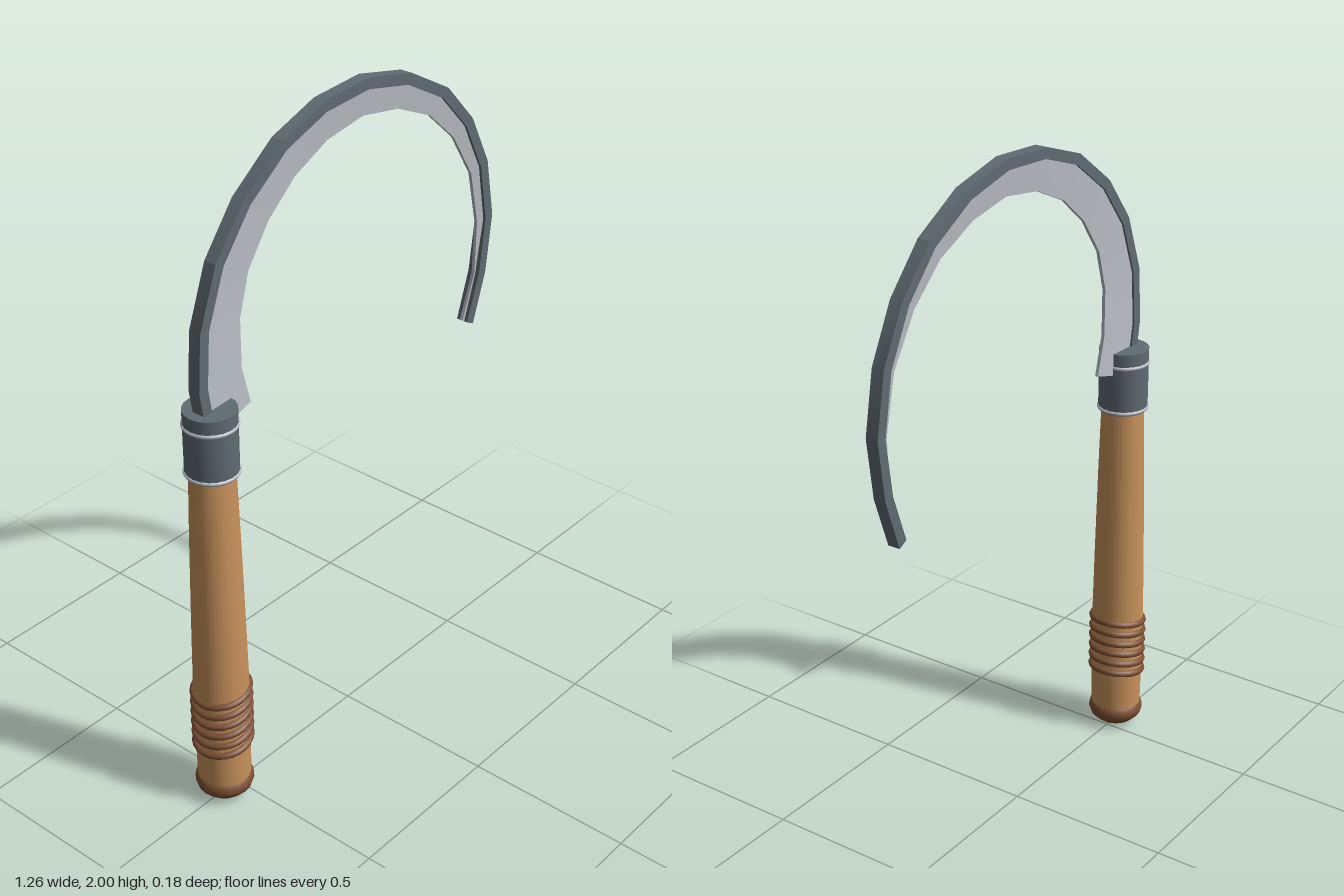
import * as THREE from 'three';
import { toCreasedNormals } from 'three/addons/utils/BufferGeometryUtils.js';

// Matching stations along the hook: [outer x, outer y, inner x, inner y]
const STATIONS = [
  [-0.575, 1.19, -0.4, 1.238], [-0.602, 1.355, -0.43, 1.355], [-0.59, 1.52, -0.43, 1.497],
  [-0.526, 1.69, -0.394, 1.62], [-0.42, 1.825, -0.315, 1.73], [-0.27, 1.935, -0.214, 1.815],
  [-0.11, 1.99, -0.087, 1.873], [0.066, 2.0, 0.055, 1.894], [0.24, 1.96, 0.2, 1.868],
  [0.4, 1.87, 0.34, 1.804], [0.516, 1.745, 0.45, 1.704], [0.595, 1.59, 0.537, 1.566],
  [0.628, 1.41, 0.574, 1.4], [0.605, 1.233, 0.57, 1.238], [0.553, 1.08, 0.52, 1.097],
];
const HANDLE_X = -0.548;

// Closed four-sided band between an outer and inner edge, with its own half thickness at each
function bandGeometry(stations, halfOuter, halfInner) {
  const pos = [];
  const quad = (a, b, c, d) => pos.push(...a, ...b, ...c, ...a, ...c, ...d);
  const rings = stations.map(([ox, oy, ix, iy]) => [
    [ox, oy, halfOuter], [ix, iy, halfInner], [ix, iy, -halfInner], [ox, oy, -halfOuter],
  ]);
  for (let i = 0; i < rings.length - 1; i++) {
    for (let k = 0; k < 4; k++) {
      const n = (k + 1) % 4;
      quad(rings[i][k], rings[i][n], rings[i + 1][n], rings[i + 1][k]);
    }
  }
  const [a, b, c, d] = rings[0];
  quad(d, c, b, a);
  quad(...rings[rings.length - 1]);
  const geo = new THREE.BufferGeometry();
  geo.setAttribute('position', new THREE.Float32BufferAttribute(pos, 3));
  geo.computeVertexNormals();
  return geo;
}

function lathe(points, creaseAngle) {
  const geo = new THREE.LatheGeometry(points.map(([r, y]) => new THREE.Vector2(r, y)), 20);
  return toCreasedNormals(geo, creaseAngle);
}

export function createModel() {
  const group = new THREE.Group();
  group.name = 'sickle';
  const material = (name, color) => {
    const m = new THREE.MeshStandardMaterial({ color });
    m.name = name;
    return m;
  };
  const wood = material('wood', 0xc9935c);
  const leather = material('leather', 0x7d5034);
  const darkSteel = material('dark steel', 0x606b73);
  const brightSteel = material('bright steel', 0xbcc1c8);

  const add = (name, geo, mat, x = 0, y = 0) => {
    const mesh = new THREE.Mesh(geo, mat);
    mesh.name = name;
    mesh.position.set(x, y, 0);
    group.add(mesh);
    return mesh;
  };

  // Spine: constant-width thick rim following the outside of the hook
  const spine = STATIONS.map(([ox, oy, ix, iy]) => {
    const t = 0.032 / Math.hypot(ix - ox, iy - oy);
    return [ox, oy, ox + (ix - ox) * t, oy + (iy - oy) * t];
  });
  add('spine', toCreasedNormals(bandGeometry(spine, 0.019, 0.019), 0.3), darkSteel);

  // Blade: wedge thinning from the spine to the cutting edge
  const blade = STATIONS.map(([ox, oy, ix, iy], i) => {
    const [, , sx, sy] = spine[i];
    return [(ox + sx) / 2, (oy + sy) / 2, ix, iy];
  });
  add('blade', toCreasedNormals(bandGeometry(blade, 0.014, 0.005), 0.5), brightSteel);

  // Tapered wooden handle
  add('handle', lathe([[0, 0.05], [0.077, 0.05], [0.079, 0.2], [0.08, 0.38], [0.076, 0.6],
    [0.07, 0.88], [0.064, 1.1], [0, 1.1]], 0.7), wood, HANDLE_X);

  // Rounded end cap
  add('endCap', lathe([[0, 0], [0.03, 0.004], [0.06, 0.015], [0.079, 0.034], [0.085, 0.052],
    [0.082, 0.068], [0.076, 0.076], [0, 0.076]], 0.9), leather, HANDLE_X);

  // Metal collar with two bright bands
  add('collar', lathe([[0, 1.09], [0.074, 1.09], [0.074, 1.284], [0, 1.284]], 0.7), darkSteel, HANDLE_X);
  for (const y of [1.097, 1.24]) {
    const ring = new THREE.TorusGeometry(0.072, 0.006, 8, 24).rotateX(Math.PI / 2);
    add('collarBand', ring, brightSteel, HANDLE_X, y);
  }

  // Slanted grip cord turns
  for (let i = 0; i < 6; i++) {
    const turn = new THREE.TorusGeometry(0.079, 0.011, 8, 24).rotateX(Math.PI / 2).rotateZ(0.16);
    add('gripCord', turn, leather, HANDLE_X, 0.2 + i * 0.035);
  }
  return group;
}
